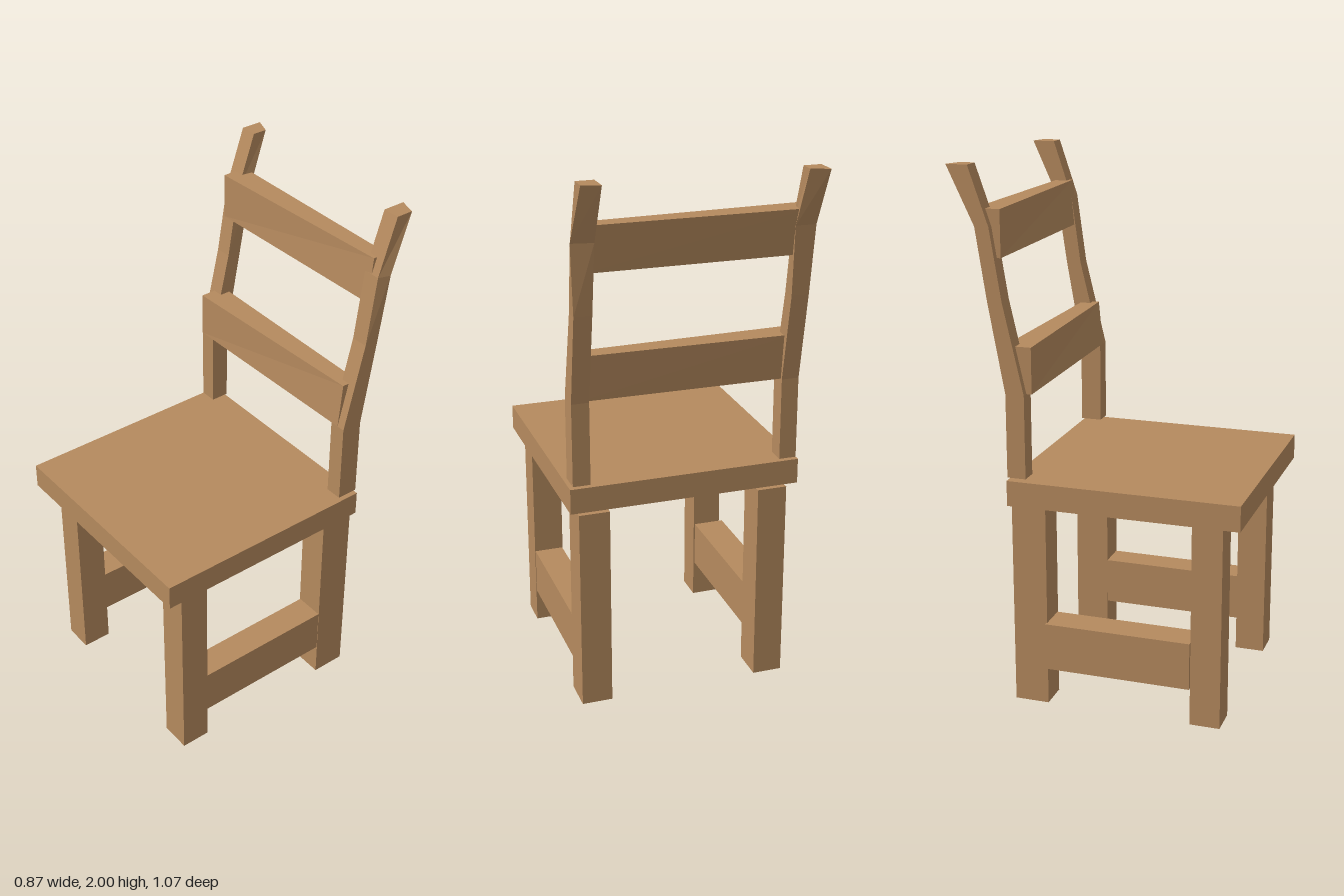
import * as THREE from 'three';

// Solid lofted through four-cornered rings listed from bottom to top.
// Each ring runs front-left, front-right, back-right, back-left as seen from the front.
function loft(rings, material, name) {
  const pos = [];
  const quad = (a, b, c, d) => pos.push(...a, ...b, ...c, ...a, ...c, ...d);
  for (let i = 0; i < rings.length - 1; i++) {
    for (let j = 0; j < 4; j++) {
      const k = (j + 1) % 4;
      quad(rings[i][j], rings[i][k], rings[i + 1][k], rings[i + 1][j]);
    }
  }
  const bottom = rings[0], top = rings[rings.length - 1];
  quad(top[0], top[1], top[2], top[3]);
  quad(bottom[3], bottom[2], bottom[1], bottom[0]);
  const geometry = new THREE.BufferGeometry();
  geometry.setAttribute('position', new THREE.Float32BufferAttribute(pos, 3));
  geometry.computeVertexNormals();
  const mesh = new THREE.Mesh(geometry, material);
  mesh.name = name;
  return mesh;
}

// Box given by its limits on each axis
function block(x0, x1, y0, y1, z0, z1, material, name) {
  const mesh = new THREE.Mesh(new THREE.BoxGeometry(x1 - x0, y1 - y0, z1 - z0), material);
  mesh.position.set((x0 + x1) / 2, (y0 + y1) / 2, (z0 + z1) / 2);
  mesh.name = name;
  return mesh;
}

export function createModel() {
  const chair = new THREE.Group();
  chair.name = 'chair';
  const wood = new THREE.MeshStandardMaterial({ color: 0xb58a5e });
  wood.name = 'wood';

  chair.add(block(-0.44, 0.43, 0.785, 0.88, -0.335, 0.53, wood, 'seat'));

  // Legs and the side stretchers between them
  for (const [side, x0, x1] of [['right', -0.397, -0.285], ['left', 0.285, 0.4]]) {
    chair.add(block(x0, x1, 0, 0.775, 0.345, 0.458, wood, side + 'FrontLeg'));
    chair.add(block(x0, x1, 0, 0.775, -0.335, -0.205, wood, side + 'BackLeg'));
  }
  chair.add(block(-0.41, -0.29, 0.145, 0.325, -0.208, 0.345, wood, 'rightStretcher'));
  chair.add(block(0.287, 0.398, 0.13, 0.31, -0.208, 0.345, wood, 'leftStretcher'));

  // Hand-carved back posts: each ring is [y, front z, inner/outer back z, twist of the back corner]
  const posts = [
    ['rightPost', -0.43, -0.365, [
      [0.89, -0.265, -0.335, -0.335, 0], [1.2, -0.265, -0.335, -0.335, 0],
      [1.53, -0.34, -0.395, -0.395, 0], [1.79, -0.382, -0.435, -0.432, 0.01],
      [2, -0.455, -0.535, -0.51, 0]]],
    ['leftPost', 0.355, 0.42, [
      [0.89, -0.255, -0.335, -0.335, 0], [1.2, -0.255, -0.335, -0.335, 0],
      [1.53, -0.335, -0.392, -0.39, 0], [1.79, -0.37, -0.43, -0.415, 0.014],
      [2, -0.44, -0.525, -0.505, 0]]],
  ];
  for (const [name, x0, x1, rings] of posts) {
    chair.add(loft(rings.map(([y, front, backA, backB, twist]) => [
      [x0, y, front], [x1, y, front], [x1 + twist, y, backB], [x0, y, backA],
    ]), wood, name));
  }

  // Slightly skewed back slats: [name, bottom y, top y, z offset, lower back z, upper back z]
  const slats = [
    ['lowerSlat', 1.2, 1.37, -0.245, -0.325, -0.345],
    ['upperSlat', 1.68, 1.85, -0.35, -0.405, -0.445],
  ];
  for (const [name, y0, y1, front, backLow, backHigh] of slats) {
    chair.add(loft([
      [[-0.405, y0, front], [0.388, y0, front - 0.01], [0.388, y0, backLow + 0.005], [-0.405, y0, backLow]],
      [[-0.405, y1, front], [0.388, y1, front - 0.026], [0.388, y1, backHigh + 0.01], [-0.405, y1, backHigh]],
    ], wood, name));
  }
  return chair;
}
